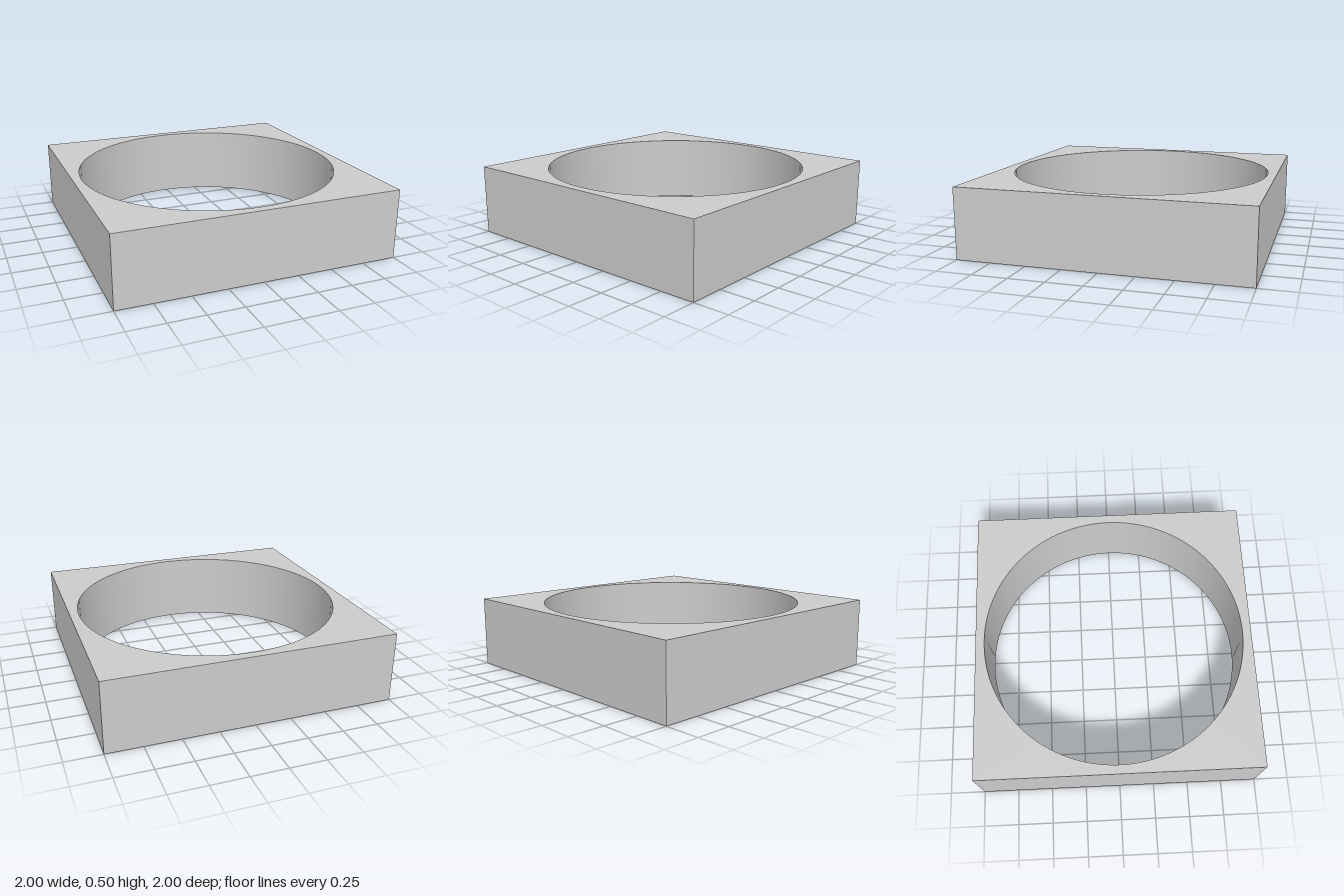
import * as THREE from 'three';
import { toCreasedNormals } from 'three/addons/utils/BufferGeometryUtils.js';

const SIDE = 2;
const HEIGHT = 0.5;
const BORE_RADIUS = 0.9375;

export function createModel() {
  const group = new THREE.Group();
  group.name = 'squareRing';

  // Square outline with a round through-hole
  const h = SIDE / 2;
  const outline = new THREE.Shape([
    new THREE.Vector2(-h, -h),
    new THREE.Vector2(h, -h),
    new THREE.Vector2(h, h),
    new THREE.Vector2(-h, h),
  ]);
  outline.holes.push(new THREE.Path().absarc(0, 0, BORE_RADIUS, 0, Math.PI * 2, true));

  // Extruded upward; the bore is smooth, the rims and corners are sharp
  const extruded = new THREE.ExtrudeGeometry(outline, {
    depth: HEIGHT,
    bevelEnabled: false,
    curveSegments: 64,
  });
  extruded.rotateX(-Math.PI / 2);

  const block = new THREE.Mesh(
    toCreasedNormals(extruded, Math.PI / 6),
    new THREE.MeshStandardMaterial({ color: 0xcccccc })
  );
  block.name = 'boredBlock';
  group.add(block);

  return group;
}
